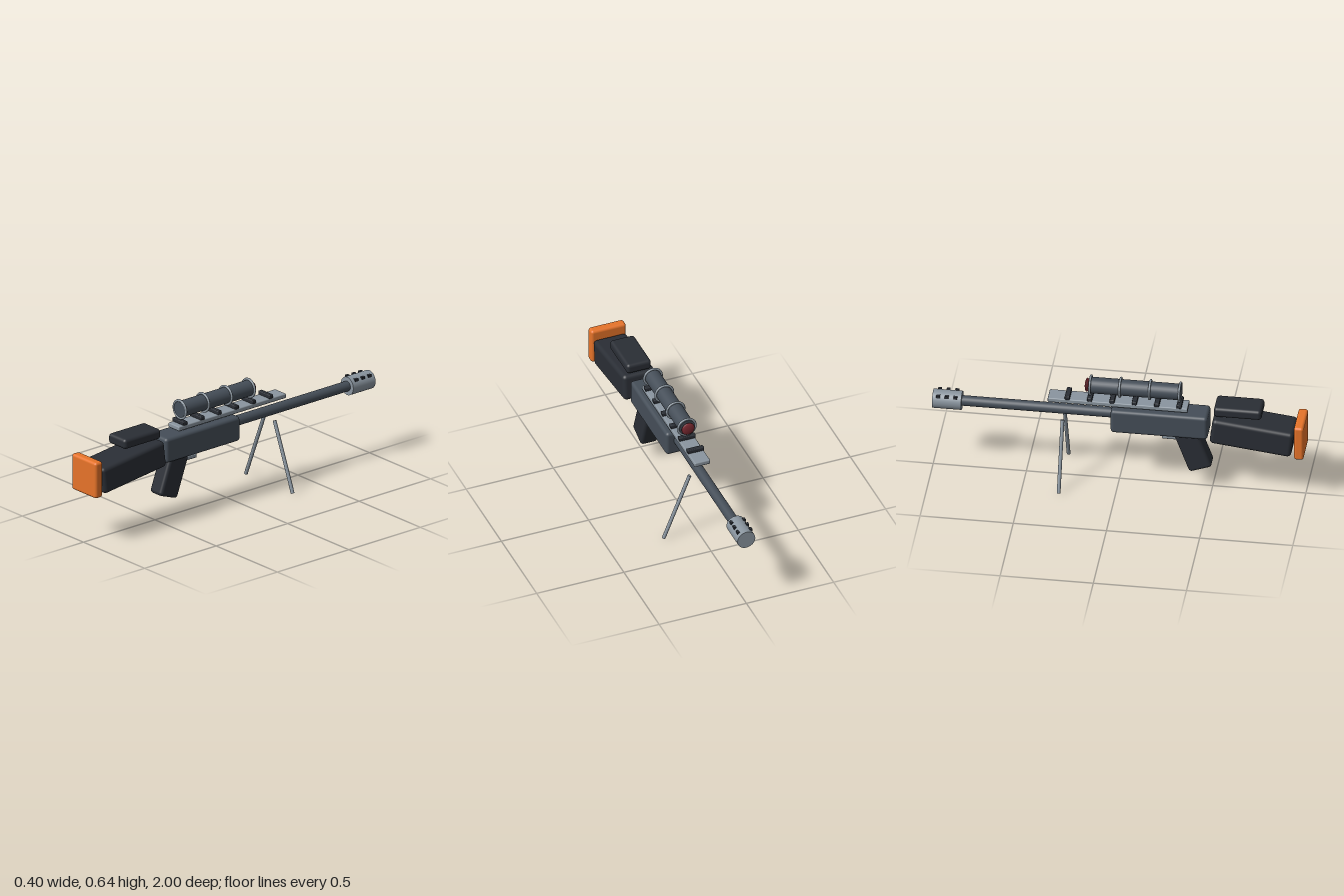
import * as THREE from 'three';
import { RoundedBoxGeometry } from 'three/addons/geometries/RoundedBoxGeometry.js';

export function createModel() {
  const model = new THREE.Group();
  model.name = 'scopedRifle';

  const paint = (color) => new THREE.MeshStandardMaterial({ color });
  const gunmetal = paint(0x454e58);
  const steel = paint(0x8a959f);
  const polymer = paint(0x2a2e35);
  const orange = paint(0xe67329);
  const red = paint(0x7d2a32);

  function add(name, geometry, material, x, y, z, parent = model) {
    const mesh = new THREE.Mesh(geometry, material);
    mesh.name = name;
    mesh.position.set(x, y, z);
    parent.add(mesh);
    return mesh;
  }
  const rounded = (w, h, d, r) => new RoundedBoxGeometry(w, h, d, 4, r);
  // Cylinder lying along z
  const rod = (radius, length) =>
    new THREE.CylinderGeometry(radius, radius, length, 32).rotateX(Math.PI / 2);

  // Receiver and barrel
  const boreY = 0.42;
  add('receiver', rounded(0.14, 0.14, 0.52, 0.018), gunmetal, 0, 0.403, 0.22);
  add('barrel', rod(0.028, 0.86), gunmetal, 0, boreY, -0.44);

  // Muzzle brake with two rows of ports on its upper sides
  const brake = new THREE.Group();
  brake.name = 'muzzleBrake';
  brake.position.set(0, boreY, -0.922);
  model.add(brake);
  add('brakeBody', rod(0.051, 0.156), steel, 0, 0, 0, brake);
  for (const side of [-1, 1]) {
    for (let i = -1; i <= 1; i++) {
      add('brakePort', new THREE.BoxGeometry(0.015, 0.015, 0.02), polymer,
        side * 0.036, 0.038, i * 0.046, brake);
    }
  }

  // Stock, cheek rest and butt pad
  add('stock', rounded(0.19, 0.15, 0.44, 0.022), polymer, 0, 0.379, 0.72).rotation.x = 0.12;
  add('cheekRest', rounded(0.14, 0.057, 0.255, 0.018), polymer, 0, 0.514, 0.642);
  add('buttPad', rounded(0.2, 0.204, 0.052, 0.015), orange, 0, 0.375, 0.974);

  // Grip and trigger guard
  add('grip', rounded(0.095, 0.24, 0.13, 0.018), polymer, 0, 0.238, 0.4).rotation.x = -0.35;
  add('triggerGuard', rounded(0.06, 0.025, 0.12, 0.006), steel, 0, 0.308, 0.29);

  // Top rail with cross slots
  add('rail', rounded(0.09, 0.026, 0.75, 0.006), steel, 0, 0.496, -0.005);
  for (let i = 0; i < 6; i++) {
    add('railTooth', rounded(0.095, 0.022, 0.027, 0.005), polymer, 0, 0.518, 0.325 - i * 0.12);
  }

  // Scope with clamp rings and a domed front lens
  const scope = new THREE.Group();
  scope.name = 'scope';
  scope.position.set(0, 0.585, 0);
  model.add(scope);
  add('scopeTube', rod(0.044, 0.49), gunmetal, 0, 0, 0.083, scope);
  for (let i = 0; i < 4; i++) {
    add('scopeRing', new THREE.TorusGeometry(0.05, 0.0065, 12, 40), steel,
      0, 0, 0.325 - i * 0.16, scope);
  }
  add('scopeLens', new THREE.SphereGeometry(0.037, 28, 16), red, 0, 0, -0.174, scope)
    .scale.z = 0.32;

  // Bipod
  for (const side of [-1, 1]) {
    const leg = add('bipodLeg', new THREE.CylinderGeometry(0.01, 0.01, 0.4, 20), steel,
      side * 0.117, 0.189, -0.3);
    leg.rotation.z = side * 0.38;
  }

  return model;
}
